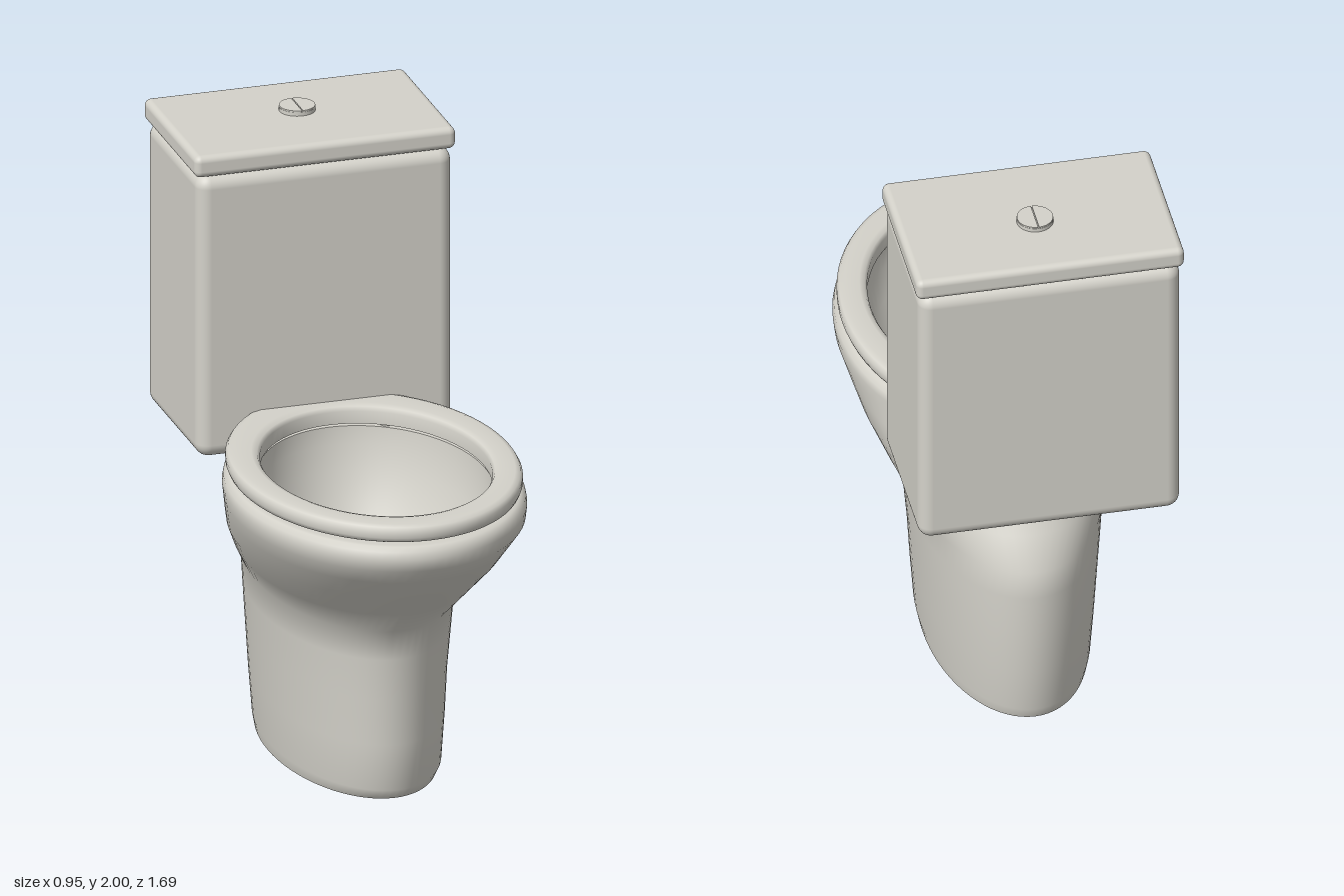
import * as THREE from 'three';
import { RoundedBoxGeometry } from 'three/addons/geometries/RoundedBoxGeometry.js';

// Skin a stack of ellipses, each [y, centreZ, radiusX, radiusZ]; a repeated row makes a crease
function loft(rows, sides = 72) {
  const pos = [], index = [];
  for (const [y, cz, rx, rz] of rows) {
    for (let j = 0; j < sides; j++) {
      const t = (j / sides) * Math.PI * 2;
      pos.push(rx * Math.cos(t), y, cz + rz * Math.sin(t));
    }
  }
  for (let i = 0; i < rows.length - 1; i++) {
    for (let j = 0; j < sides; j++) {
      const k = (j + 1) % sides;
      const a = i * sides + j, b = i * sides + k, c = a + sides, d = b + sides;
      index.push(a, c, b, b, c, d);
    }
  }
  const g = new THREE.BufferGeometry();
  g.setAttribute('position', new THREE.Float32BufferAttribute(pos, 3));
  g.setIndex(index);
  g.computeVertexNormals();
  return g;
}

export function createModel() {
  const model = new THREE.Group();
  model.name = 'toilet';
  const ceramic = new THREE.MeshStandardMaterial({ color: 0xd4d2ca });
  ceramic.name = 'ceramic';

  const add = (name, geometry, x = 0, y = 0, z = 0) => {
    const mesh = new THREE.Mesh(geometry, ceramic);
    mesh.name = name;
    mesh.position.set(x, y, z);
    model.add(mesh);
    return mesh;
  };

  // Pedestal, rim and hollow basin in one skin
  add('bowl', loft([
    [0, -0.085, 0, 0],
    [0, -0.085, 0.26, 0.515],
    [0, -0.085, 0.26, 0.515],
    [0.04, -0.075, 0.268, 0.54],
    [0.2, -0.077, 0.28, 0.553],
    [0.36, -0.08, 0.29, 0.56],
    [0.5, -0.073, 0.302, 0.564],
    [0.6, -0.067, 0.31, 0.568],
    [0.7, 0.02, 0.368, 0.587],
    [0.8, 0.108, 0.42, 0.607],
    [0.88, 0.172, 0.448, 0.618],
    [0.94, 0.22, 0.468, 0.624],
    [0.98, 0.22, 0.473, 0.625],
    [1.005, 0.22, 0.468, 0.62],
    [1.018, 0.22, 0.452, 0.604],
    [1.02, 0.22, 0.435, 0.59],
    [1.02, 0.237, 0.365, 0.485],
    [1.02, 0.237, 0.365, 0.485],
    [0.96, 0.237, 0.36, 0.478],
    [0.88, 0.228, 0.34, 0.445],
    [0.78, 0.208, 0.3, 0.39],
    [0.68, 0.182, 0.24, 0.305],
    [0.6, 0.163, 0.18, 0.23],
    [0.55, 0.155, 0.138, 0.19],
    [0.55, 0.155, 0.138, 0.19],
    [0.55, 0.155, 0, 0],
  ]));

  // Seat ring with a rolled outer edge
  add('seat', loft([
    [1.03, 0.237, 0.36, 0.478],
    [1.03, 0.217, 0.44, 0.593],
    [1.036, 0.215, 0.454, 0.609],
    [1.05, 0.215, 0.46, 0.615],
    [1.07, 0.215, 0.46, 0.615],
    [1.084, 0.216, 0.452, 0.606],
    [1.09, 0.218, 0.435, 0.588],
    [1.09, 0.232, 0.385, 0.51],
    [1.085, 0.236, 0.368, 0.488],
    [1.072, 0.237, 0.36, 0.478],
    [1.03, 0.237, 0.36, 0.478],
  ]));

  // Small pads holding the seat off the rim
  for (const s of [-1, 1]) {
    for (const z of [-0.22, 0.7]) {
      add('seatPad', new THREE.CylinderGeometry(0.02, 0.02, 0.016, 16), s * 0.18, 1.025, z);
    }
  }

  // Cistern and its lid
  add('tank', new RoundedBoxGeometry(0.856, 0.97, 0.55, 5, 0.045), 0, 1.425, -0.565);
  add('tankLid', new RoundedBoxGeometry(0.876, 0.074, 0.556, 4, 0.022), 0, 1.945, -0.567);

  // Split flush button on a round base
  add('buttonBase', new THREE.CylinderGeometry(0.059, 0.059, 0.02, 40), 0, 1.985, -0.595);
  for (const s of [0, 1]) {
    const half = new THREE.Shape();
    half.absarc(0, 0, 0.058, -Math.PI / 2 + 0.03, Math.PI / 2 - 0.03, false);
    const g = new THREE.ExtrudeGeometry(half, { depth: 0.01, bevelEnabled: false, curveSegments: 24 });
    g.rotateX(-Math.PI / 2);
    add('flushButton', g, 0, 1.99, -0.595).rotation.y = s * Math.PI;
  }
  return model;
}
